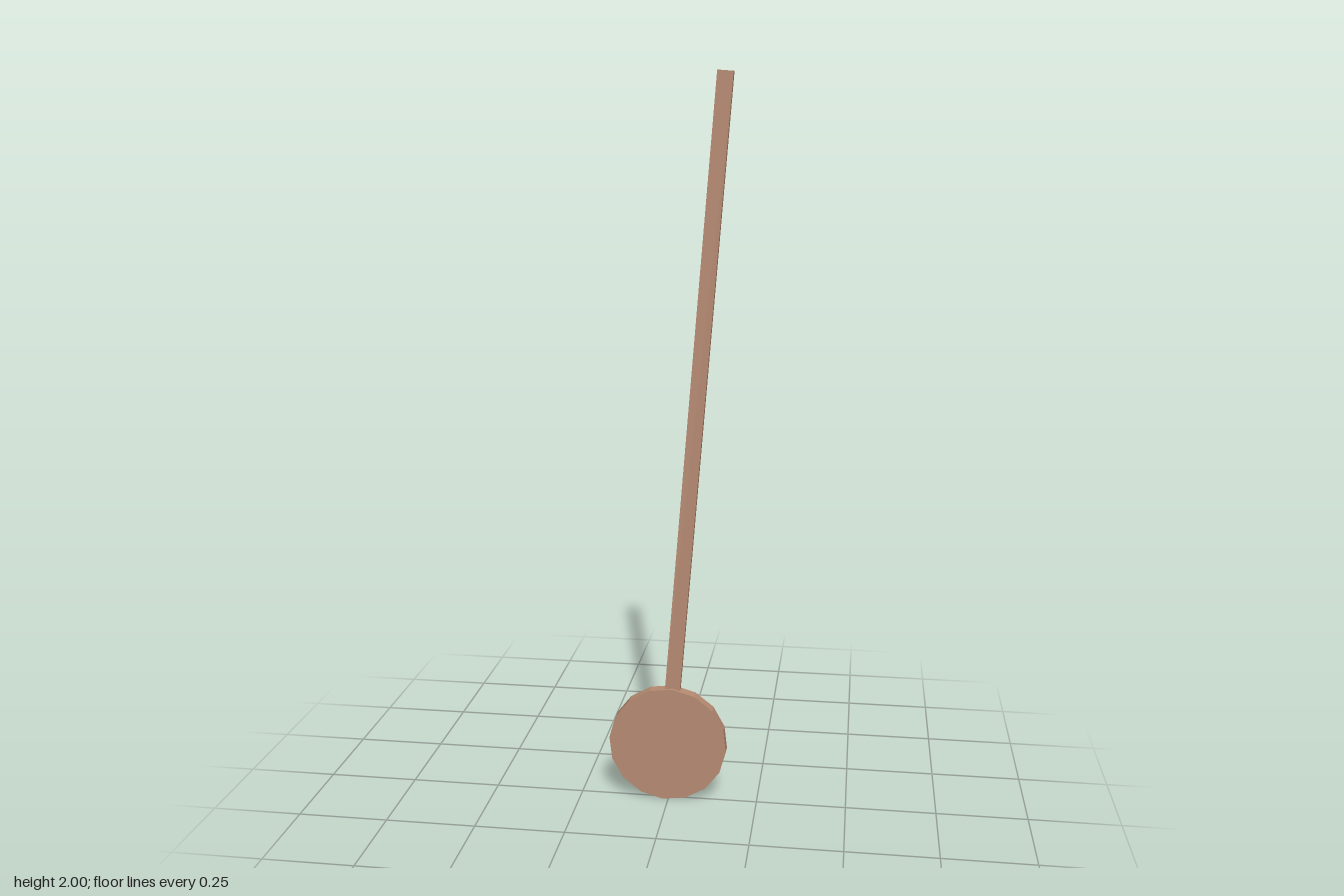
import * as THREE from 'three';

export function createModel() {
  const model = new THREE.Group();
  model.name = 'pendulum';
  const material = new THREE.MeshStandardMaterial({ color: 0xb78b73, flatShading: true });

  // Everything hangs along one tilted axis through the centre of the bob
  const swing = new THREE.Group();
  swing.name = 'swingingArm';
  swing.position.set(-0.002, 0.1655, 0);
  swing.rotation.z = -0.08;
  model.add(swing);

  // Sixteen-sided disc facing front
  const bob = new THREE.Mesh(new THREE.CylinderGeometry(0.166, 0.166, 0.034, 16), material);
  bob.name = 'bob';
  bob.rotation.x = Math.PI / 2;
  swing.add(bob);

  // Slim flat rod, set slightly behind the middle of the bob
  const rodStart = 0.16, rodEnd = 1.8387;
  const rod = new THREE.Mesh(new THREE.BoxGeometry(0.042, rodEnd - rodStart, 0.023), material);
  rod.name = 'rod';
  rod.position.set(0, (rodStart + rodEnd) / 2, -0.004);
  swing.add(rod);

  return model;
}
